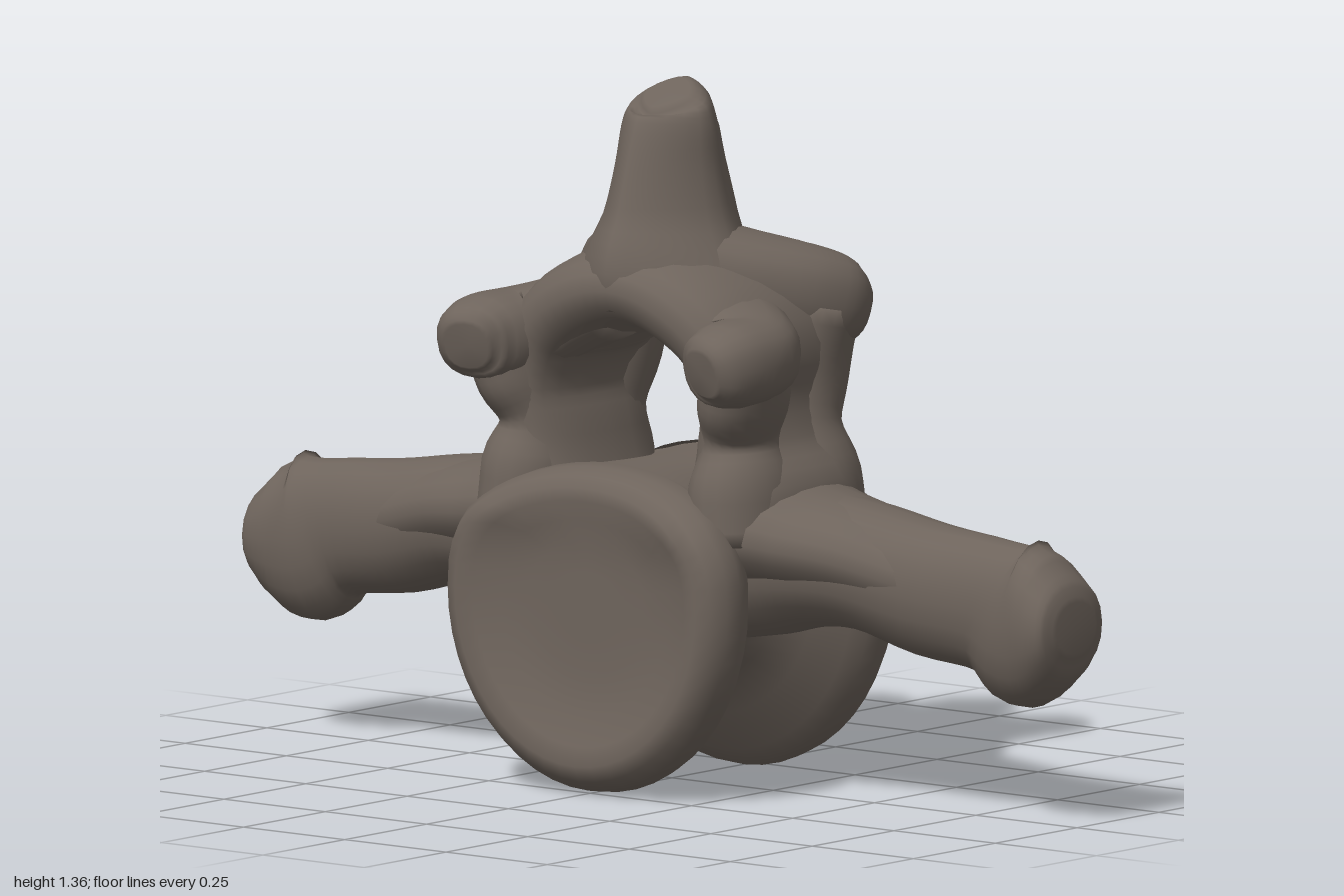
import * as THREE from 'three';
import { mergeVertices } from 'three/addons/utils/BufferGeometryUtils.js';

const bone = new THREE.MeshStandardMaterial({ color: 0x6e645c });
bone.name = 'grey brown bone';

// Smooth skin through sections [x, y, z, sideRadius, refRadius]; ref is the direction of refRadius.
function loft(sections, ref, power = 1, sides = 20, sub = 4) {
  const path = new THREE.CatmullRomCurve3(sections.map(s => new THREE.Vector3(s[0], s[1], s[2])));
  const radii = new THREE.CatmullRomCurve3(sections.map(s => new THREE.Vector3(s[3], s[4], 0)));
  const bend = k => Math.sign(k) * Math.abs(k) ** power;
  const steps = (sections.length - 1) * sub;
  const pos = [], index = [];
  for (let i = 0; i <= steps; i++) {
    const c = path.getPoint(i / steps), r = radii.getPoint(i / steps);
    const t = path.getTangent(i / steps);
    const v = new THREE.Vector3(...ref).addScaledVector(t, -t.dot(new THREE.Vector3(...ref))).normalize();
    const u = new THREE.Vector3().crossVectors(v, t);
    for (let j = 0; j < sides; j++) {
      const a = j / sides * Math.PI * 2;
      const p = c.clone().addScaledVector(u, bend(Math.cos(a)) * r.x).addScaledVector(v, bend(Math.sin(a)) * r.y);
      pos.push(p.x, p.y, p.z);
    }
  }
  const first = pos.length / 3, last = first + 1, end = steps * sides;
  pos.push(...path.getPoint(0).toArray(), ...path.getPoint(1).toArray());
  for (let j = 0; j < sides; j++) {
    const k = (j + 1) % sides;
    for (let i = 0; i < end; i += sides) {
      index.push(i + j, i + k, i + sides + j, i + k, i + sides + k, i + sides + j);
    }
    index.push(first, k, j, last, end + j, end + k);
  }
  const g = new THREE.BufferGeometry();
  g.setAttribute('position', new THREE.Float32BufferAttribute(pos, 3));
  g.setIndex(index);
  g.computeVertexNormals();
  return g;
}

// Spool-shaped body: waisted below, flat on top, with a shallow dished face at each end
function bodyGeometry() {
  const half = [[0.45, 0], [0.52, 0.05], [0.7, 0.105], [0.9, 0.16], [0.98, 0.19], [1, 0.22], [0.985, 0.255],
    [0.93, 0.285], [0.85, 0.298], [0.75, 0.288], [0.6, 0.268], [0.4, 0.26], [0.2, 0.26], [0, 0.26]];
  const back = half.slice(1).reverse().map(([r, z]) => [r, -z]);
  const profile = [...back, ...half].map(([r, z]) => new THREE.Vector2(r, z));
  let g = new THREE.LatheGeometry(profile, 48);
  g.rotateX(Math.PI / 2);
  const p = g.attributes.position;
  for (let i = 0; i < p.count; i++) {
    const x = p.getX(i), y = p.getY(i), z = p.getZ(i);
    const r = Math.hypot(x, y) || 1e-6;
    const s = y / r;
    const waist = Math.abs(z) < 0.2;
    const top = s > 0 ? s ** 0.75 : 0;
    const fill = waist ? THREE.MathUtils.lerp(r, 0.98, top) : r;
    const height = 0.38 + (s > 0 ? top * 0.255 * fill : s * 0.378 * r);
    p.setX(i, x / r * (waist ? THREE.MathUtils.lerp(r, 0.95, 0.25 + 0.4 * top) : r) * 0.348);
    p.setY(i, height);
    // The upper rim leans back
    if (!waist) p.setZ(i, z - Math.sign(z) * 0.4 * Math.max(0, height - 0.53));
  }
  g.deleteAttribute('uv');
  g.deleteAttribute('normal');
  g = mergeVertices(g, 1e-4);
  g.computeVertexNormals();
  return g;
}

export function createModel() {
  const model = new THREE.Group();
  model.name = 'vertebra';
  const add = (name, geometry) => {
    const mesh = new THREE.Mesh(geometry, bone);
    mesh.name = name;
    model.add(mesh);
  };
  const mirror = sections => sections.map(([x, ...rest]) => [-x, ...rest]);
  const addPair = (name, sections, ref, power) => {
    add('left' + name, loft(sections, ref, power));
    add('right' + name, loft(mirror(sections), ref, power));
  };

  add('body', bodyGeometry());

  // Arch around the canal, from one pedicle over the crown to the other
  const archSide = [
    [0.25, 0.46, 0, 0.11, 0.2],
    [0.25, 0.57, 0, 0.125, 0.2],
    [0.235, 0.67, 0, 0.083, 0.18],
    [0.232, 0.76, 0, 0.06, 0.185],
    [0.21, 0.87, 0, 0.09, 0.195],
    [0.11, 0.945, 0, 0.09, 0.205],
  ];
  add('neuralArch', loft([...archSide, [0, 0.97, 0, 0.085, 0.205], ...mirror(archSide).reverse()], [0, 0, 1], 0.85));

  // Upright spine, flaring into the arch at the foot
  add('spinousProcess', loft([
    [0, 0.93, 0.01, 0.23, 0.18],
    [0, 1.0, 0.01, 0.185, 0.195],
    [0, 1.1, 0.005, 0.13, 0.165],
    [0, 1.2, 0.005, 0.107, 0.135],
    [0, 1.27, 0.005, 0.1, 0.112],
    [0, 1.315, 0.005, 0.088, 0.085],
    [0, 1.335, 0.015, 0.05, 0.05],
  ], [0, 0, 1], 1.3));

  // Side wings with flared tips
  addPair('TransverseProcess', [
    [0.16, 0.45, 0, 0.16, 0.14],
    [0.28, 0.46, 0, 0.15, 0.145],
    [0.38, 0.465, 0, 0.132, 0.145],
    [0.5, 0.46, 0, 0.123, 0.13],
    [0.65, 0.43, 0, 0.13, 0.11],
    [0.8, 0.413, 0, 0.133, 0.09],
    [0.88, 0.388, 0, 0.165, 0.092],
    [0.94, 0.388, 0, 0.138, 0.102],
    [0.985, 0.39, 0, 0.09, 0.095],
    [0.998, 0.39, 0, 0.05, 0.06],
  ], [0, 0, 1], 0.95);

  // Broad shoulders above the wing roots
  addPair('Shoulder', [
    [0.2, 0.51, 0, 0.12, 0.21],
    [0.3, 0.51, 0, 0.11, 0.2],
    [0.38, 0.5, 0, 0.1, 0.178],
    [0.5, 0.485, 0, 0.09, 0.146],
    [0.64, 0.45, 0, 0.08, 0.11],
    [0.76, 0.425, 0, 0.06, 0.07],
  ], [0, 0, 1]);

  // Front joint knobs
  addPair('FrontArticularProcess', [
    [0.1, 0.935, 0.04, 0.12, 0.08],
    [0.21, 0.885, 0.07, 0.115, 0.083],
    [0.28, 0.86, 0.12, 0.105, 0.083],
    [0.298, 0.855, 0.2, 0.092, 0.083],
    [0.295, 0.85, 0.25, 0.075, 0.07],
    [0.29, 0.845, 0.27, 0.045, 0.045],
  ], [0, 1, 0], 0.85);

  // Buttresses joining the front knobs to the pedicles
  addPair('FrontButtress', [
    [0.26, 0.5, 0.1, 0.1, 0.13],
    [0.255, 0.61, 0.1, 0.095, 0.12],
    [0.25, 0.7, 0.1, 0.068, 0.085],
    [0.275, 0.78, 0.12, 0.078, 0.105],
    [0.295, 0.86, 0.15, 0.08, 0.09],
  ], [0, 0, 1]);

  // Rear joint knobs
  addPair('RearArticularProcess', [
    [0.03, 1.0, 0.0, 0.13, 0.1],
    [0.13, 0.97, -0.07, 0.12, 0.1],
    [0.205, 0.945, -0.14, 0.105, 0.1],
    [0.24, 0.925, -0.195, 0.09, 0.095],
    [0.255, 0.91, -0.24, 0.06, 0.06],
  ], [0, 1, 0], 0.85);

  // Buttresses below the rear knobs
  addPair('RearButtress', [
    [0.26, 0.5, -0.1, 0.1, 0.13],
    [0.255, 0.61, -0.1, 0.095, 0.115],
    [0.24, 0.71, -0.1, 0.068, 0.088],
    [0.23, 0.8, -0.125, 0.07, 0.1],
    [0.23, 0.92, -0.15, 0.085, 0.095],
  ], [0, 0, 1]);

  return model;
}
